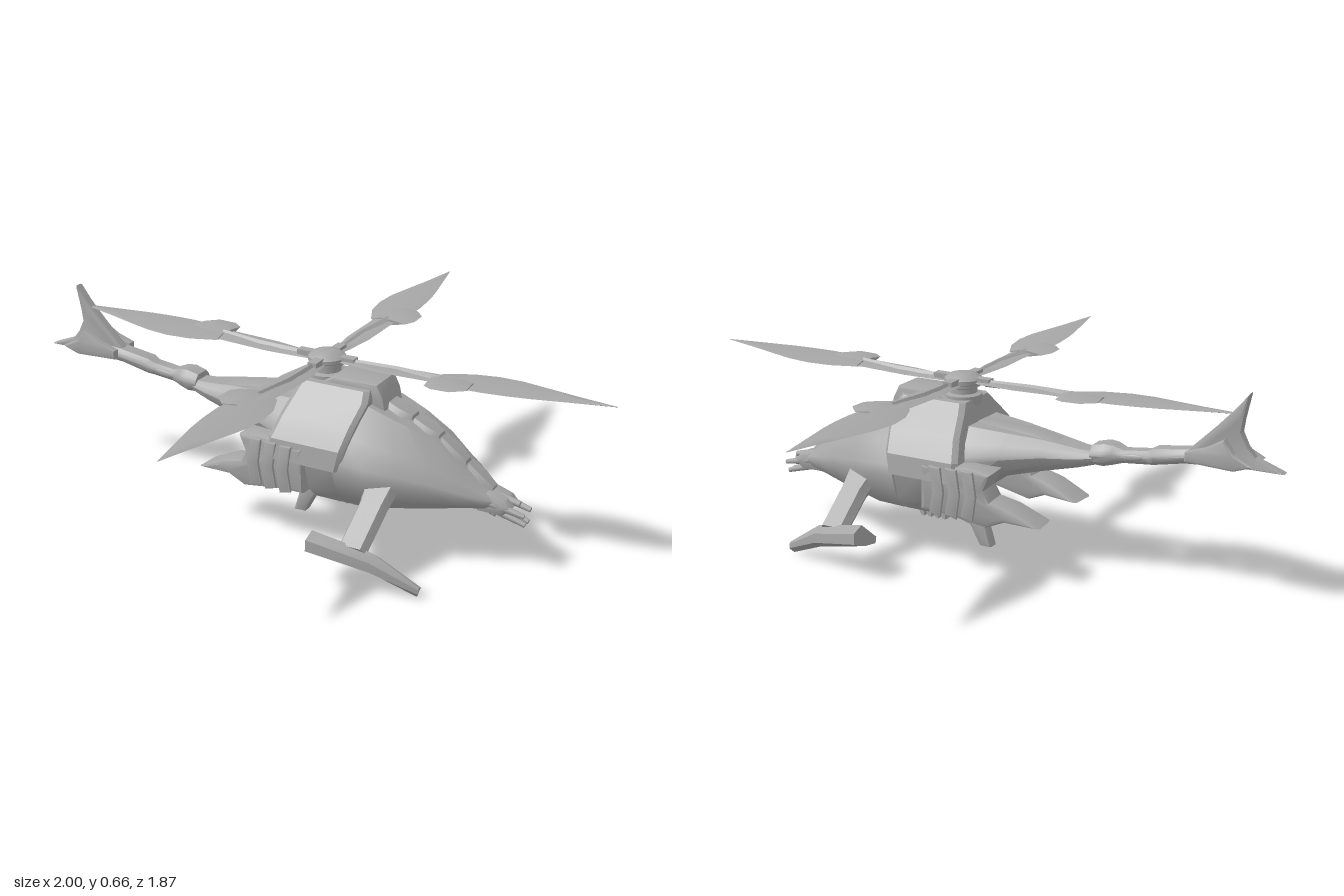
import * as THREE from 'three';
import { toCreasedNormals, mergeVertices } from 'three/addons/utils/BufferGeometryUtils.js';

const V = (x, y, z) => new THREE.Vector3(x, y, z);

// Closed solid through a list of equal-length rings, always wound outward
function loft(rings, crease = 0.55) {
  const n = rings[0].length, pos = [], tris = [];
  rings.forEach(r => r.forEach(p => pos.push(p)));
  for (let i = 0; i < rings.length - 1; i++)
    for (let j = 0; j < n; j++) {
      const a = i * n + j, b = i * n + (j + 1) % n;
      tris.push([a, b, b + n], [a, b + n, a + n]);
    }
  const cap = (ring, base, flip) => {
    const c = pos.length;
    pos.push(ring.reduce((s, p) => s.add(p), V(0, 0, 0)).divideScalar(n));
    for (let j = 0; j < n; j++) {
      const a = base + j, b = base + (j + 1) % n;
      tris.push(flip ? [c, b, a] : [c, a, b]);
    }
  };
  cap(rings[0], 0, true);
  cap(rings.at(-1), (rings.length - 1) * n, false);
  const volume = tris.reduce((s, [a, b, c]) => s + pos[a].dot(pos[b].clone().cross(pos[c])), 0);
  const geo = new THREE.BufferGeometry().setFromPoints(pos);
  geo.setIndex(tris.flatMap(([a, b, c]) => (volume < 0 ? [a, c, b] : [a, b, c])));
  return toCreasedNormals(geo, crease);
}

// Mirrored hull section across x: roof, shoulder, widest line, chine, keel
function hullRing([x, top, tw, wy, w, bot, bw]) {
  const half = [
    [tw, top], [tw + (w - tw) * 0.62, wy + (top - wy) * 0.55], [w * 0.97, wy + (top - wy) * 0.18],
    [w, wy], [bw + (w - bw) * 0.7, bot + (wy - bot) * 0.4], [bw, bot]];
  return [...half.map(([z, y]) => V(x, y, z)), ...half.reverse().map(([z, y]) => V(x, y, -z))];
}

// Rectangular section at one height, with cut corners
function deckRing([y, x0, x1, w]) {
  const c = 0.015;
  return [[x0 + c, w], [x1 - c, w], [x1, w - c], [x1, c - w], [x1 - c, -w], [x0 + c, -w], [x0, c - w], [x0, w - c]]
    .map(([x, z]) => V(x, y, z));
}

// Side profile in x,y given thickness along z
function plate(points, depth, bevel = 0) {
  const geo = new THREE.ExtrudeGeometry(new THREE.Shape(points.map(p => new THREE.Vector2(...p))), {
    depth: depth - 2 * bevel, bevelEnabled: bevel > 0, bevelSize: bevel, bevelThickness: bevel,
    bevelOffset: -bevel, bevelSegments: 2 });
  geo.translate(0, 0, -depth / 2 + bevel);
  geo.deleteAttribute('uv');
  return toCreasedNormals(mergeVertices(geo), 0.5);
}

export function createModel() {
  const model = new THREE.Group();
  model.name = 'helicopter';
  const grey = new THREE.MeshStandardMaterial({ color: 0xa6a6a6 });
  grey.name = 'hull grey';
  const add = (name, geo, parent = model) => {
    const mesh = new THREE.Mesh(geo, grey);
    mesh.name = name;
    parent.add(mesh);
    return mesh;
  };
  const rod = (name, a, b, r0, r1) => {
    const dir = b.clone().sub(a);
    const mesh = add(name, new THREE.CylinderGeometry(r1, r0, dir.length(), 12));
    mesh.position.copy(a).addScaledVector(dir, 0.5);
    mesh.quaternion.setFromUnitVectors(V(0, 1, 0), dir.normalize());
  };

  // Hull
  add('cabin', loft([
    [0.2, 0.495, 0.09, 0.29, 0.215, 0.165, 0.14], [0.3, 0.46, 0.085, 0.29, 0.215, 0.168, 0.14],
    [0.38, 0.43, 0.075, 0.28, 0.185, 0.178, 0.12], [0.47, 0.385, 0.06, 0.27, 0.15, 0.19, 0.1],
    [0.56, 0.315, 0.045, 0.25, 0.105, 0.2, 0.07], [0.63, 0.258, 0.03, 0.235, 0.06, 0.205, 0.045],
    [0.67, 0.24, 0.02, 0.225, 0.035, 0.21, 0.025]].map(hullRing), 0.7));
  add('engineCowl', loft([
    [0.3, -0.035, 0.22, 0.222], [0.365, -0.03, 0.232, 0.214], [0.43, -0.012, 0.245, 0.172],
    [0.49, 0.005, 0.257, 0.112], [0.52, 0.015, 0.25, 0.085]].map(deckRing), 0.35));
  add('lowerHull', loft([
    [0.165, 0.085, 0.21, 0.14], [0.21, 0.085, 0.215, 0.185], [0.32, 0.085, 0.215, 0.212]].map(deckRing)));
  add('roofIntake', plate([[0.05, 0.5], [0.12, 0.54], [0.27, 0.54], [0.29, 0.5], [0.3, 0.45], [0.05, 0.45]], 0.13, 0.01));
  add('rearFuselage', loft([
    [0.1, 0.46, 0.1, 0.33, 0.18, 0.18, 0.12], [0, 0.453, 0.09, 0.35, 0.17, 0.21, 0.11],
    [-0.13, 0.443, 0.07, 0.37, 0.125, 0.305, 0.07], [-0.25, 0.432, 0.045, 0.385, 0.085, 0.335, 0.05],
    [-0.36, 0.417, 0.03, 0.39, 0.055, 0.36, 0.035], [-0.42, 0.415, 0.025, 0.4, 0.042, 0.377, 0.025]].map(hullRing)));
  const spine = add('spineFairing', plate([[-0.36, 0.415], [-0.2, 0.447], [0.02, 0.458], [0.02, 0.41], [-0.3, 0.4]], 0.08, 0.01));
  spine.position.y = -0.003;

  // Tail boom
  add('tailBoom', loft([
    [-0.4, 0.435, 0.025, 0.405, 0.045, 0.375, 0.025], [-0.44, 0.445, 0.028, 0.41, 0.05, 0.375, 0.028],
    [-0.47, 0.443, 0.024, 0.412, 0.042, 0.383, 0.024], [-0.5, 0.432, 0.018, 0.413, 0.03, 0.392, 0.018],
    [-0.58, 0.442, 0.018, 0.42, 0.03, 0.4, 0.018], [-0.6, 0.453, 0.022, 0.427, 0.036, 0.403, 0.022],
    [-0.7, 0.467, 0.022, 0.445, 0.036, 0.424, 0.022], [-0.8, 0.475, 0.016, 0.45, 0.03, 0.43, 0.018]].map(hullRing)));
  add('tailFin', plate([
    [-1, 0.435], [-0.91, 0.47], [-0.885, 0.5], [-0.865, 0.54], [-0.87, 0.58], [-0.885, 0.66],
    [-0.845, 0.61], [-0.79, 0.55], [-0.72, 0.48], [-0.7, 0.46], [-0.7, 0.432]], 0.036, 0.008));
  for (const s of [1, -1]) {
    const cheek = add('tailCheek', plate([
      [-0.92, 0.455], [-0.86, 0.485], [-0.83, 0.525], [-0.77, 0.49], [-0.71, 0.47], [-0.71, 0.44], [-0.86, 0.434]], 0.03, 0.007));
    cheek.position.set(0, 0, s * 0.046);
    const vent = add('boomVent', new THREE.SphereGeometry(1, 16, 10));
    vent.scale.set(0.04, 0.011, 0.006);
    vent.position.set(-0.53, 0.416, s * 0.028);
    vent.rotation.z = -0.12;
  }

  // Canopy ridge stepping down to the nose
  const ridge = [[0.29, 0.475], [0.38, 0.437], [0.47, 0.392], [0.56, 0.325], [0.65, 0.255]];
  for (let i = 0; i < 4; i++) {
    const [x0, y0] = ridge[i], [x1, y1] = ridge[i + 1], w = 0.045 - i * 0.005;
    const cut = (x, y, k) => [[w * k, -0.02], [w * k * 0.6, 0.005], [-w * k * 0.6, 0.005], [-w * k, -0.02]]
      .map(([z, dy]) => V(x, y + dy, z));
    add('canopyRidge', loft([cut(x0, y0, 1), cut((x0 + x1) / 2, (y0 + y1) / 2 + 0.003, 1.2), cut(x1 - 0.008, y1 + 0.004, 0.8)]));
  }

  // Nose turret and guns
  add('noseTurret', plate([[0.57, 0.255], [0.62, 0.262], [0.69, 0.238], [0.71, 0.215], [0.68, 0.185], [0.6, 0.185]], 0.09, 0.018));
  rod('upperGun', V(0.64, 0.24, 0), V(0.725, 0.222, 0), 0.014, 0.01);
  for (const s of [1, -1]) {
    rod('sideGun', V(0.63, 0.225, s * 0.035), V(0.75, 0.197, s * 0.028), 0.015, 0.008);
    rod('lowerGun', V(0.63, 0.202, s * 0.018), V(0.75, 0.163, s * 0.014), 0.014, 0.008);
  }

  for (const s of [1, -1]) {
    // Engine pod with swept exhaust scoop
    const pod = add('enginePod', plate([
      [-0.3, 0.192], [-0.2, 0.24], [-0.135, 0.255], [-0.115, 0.29], [-0.14, 0.345], [-0.06, 0.36],
      [0.1, 0.35], [0.1, 0.2], [0.02, 0.195], [-0.12, 0.17], [-0.18, 0.195]], 0.105, 0.014));
    pod.position.z = s * 0.16;
    pod.rotation.y = -s * 0.09;
    for (let i = 0; i < 3; i++) {
      const x = -0.09 + i * 0.055;
      const band = add('podBand', plate([[x, 0.35], [x + 0.04, 0.352], [x + 0.028, 0.27], [x + 0.04, 0.2], [x, 0.19], [x - 0.012, 0.27]], 0.012, 0.004));
      band.position.z = s * (0.213 + i * 0.004);
    }
    // Landing strut
    const strutRing = (z, y, x0, x1, t) => [[x0, 0], [x0 + 0.015, t], [x1 - 0.015, t], [x1, 0], [x1 - 0.015, -t], [x0 + 0.015, -t]]
      .map(([x, k]) => V(x, y + k * 0.75, s * (z + k * 0.6)));
    add('landingStrut', loft([strutRing(0.13, 0.275, 0.28, 0.4, 0.036), strutRing(0.22, 0.215, 0.295, 0.39, 0.028),
      strutRing(0.345, 0.125, 0.29, 0.385, 0.026)]));
    // Landing foot, tapering to a low front tip
    add('landingFoot', loft([
      [0.215, [[0.412, 0.16], [0.37, 0.175], [0.29, 0.11], [0.295, 0.09], [0.355, 0.1], [0.415, 0.125]]],
      [0.4, [[0.365, 0.11], [0.338, 0.13], [0.286, 0.09], [0.289, 0.052], [0.33, 0.055], [0.367, 0.08]]],
      [0.54, [[0.312, 0.03], [0.306, 0.036], [0.292, 0.03], [0.292, 0.008], [0.3, 0], [0.312, 0.015]]],
    ].map(([x, ring]) => ring.map(([z, y]) => V(x - (y < 0.01 ? 0.01 : 0), y, s * z))), 0.5));
  }

  // Belly keel with a row of teeth
  add('bellyKeel', plate([[-0.045, 0.03], [-0.005, 0.03], [0.03, 0.095], [0.1, 0.118], [0.24, 0.118], [0.26, 0.18], [0.02, 0.18], [-0.02, 0.115]], 0.045, 0.008));
  add('bellyBlock', plate([[0.02, 0.16], [0.06, 0.14], [0.23, 0.145], [0.27, 0.18], [0.23, 0.22], [0.02, 0.22]], 0.16, 0.015));
  for (let i = 0; i < 4; i++) {
    const x = 0.12 + i * 0.027;
    add('bellyTooth', plate([[x, 0.098], [x + 0.012, 0.1], [x + 0.024, 0.13], [x + 0.004, 0.13]], 0.05));
  }

  // Rotor mast and hub
  const rotor = new THREE.Group();
  rotor.name = 'rotor';
  rotor.position.set(0.065, 0, 0);
  model.add(rotor);
  const hub = [[0, 0.5], [0.06, 0.5], [0.06, 0.53], [0.045, 0.535], [0.045, 0.552], [0.055, 0.556], [0.055, 0.565],
    [0.06, 0.568], [0.06, 0.58], [0.045, 0.592], [0.02, 0.598], [0, 0.599]].map(p => new THREE.Vector2(...p));
  add('mastAndHub', toCreasedNormals(new THREE.LatheGeometry(hub, 24), 0.5), rotor);

  // Lens section of a blade at radius r, between lateral edges a and b
  const bladeRing = ([r, a, b, t]) => {
    const y = 0.567 + 0.028 * r, m = (a + b) / 2;
    return [V(a, y - t * 0.3, -r), V(m, y + t, -r), V(b, y + t * 0.3, -r), V(m, y - t * 0.7, -r)];
  };
  for (let i = 0; i < 4; i++) {
    const arm = new THREE.Group();
    arm.name = 'rotorArm';
    arm.rotation.y = i * Math.PI / 2;
    rotor.add(arm);
    add('bladeRoot', loft([[0.04, -0.018, 0.018, 0.01], [0.1, -0.025, 0.03, 0.009], [0.2, -0.035, 0.045, 0.008],
      [0.4, -0.03, 0.05, 0.007]].map(bladeRing)), arm);
    add('bladeSpar', loft([[0.08, -0.012, 0.012, 0.014], [0.24, -0.014, 0.012, 0.014], [0.39, 0, 0.035, 0.014]].map(bladeRing)), arm);
    add('blade', loft([[0.38, -0.04, 0.03, 0.008], [0.46, -0.075, 0.065, 0.008], [0.54, -0.087, 0.068, 0.008],
      [0.62, -0.08, 0.062, 0.007], [0.69, -0.062, 0.052, 0.006], [0.8, -0.033, 0.029, 0.004], [0.933, -0.001, 0.001, 0.001]].map(bladeRing), 0.9), arm);
    add('bladeJoint', loft([[0.37, -0.025, 0.09, 0.012], [0.4, -0.036, 0.11, 0.017], [0.46, -0.036, 0.11, 0.017],
      [0.5, -0.015, 0.075, 0.01]].map(bladeRing)), arm);
    const clamp = add('hubClamp', new THREE.BoxGeometry(0.03, 0.02, 0.06), arm);
    clamp.position.set(0, 0.577, -0.07);
  }
  return model;
}
